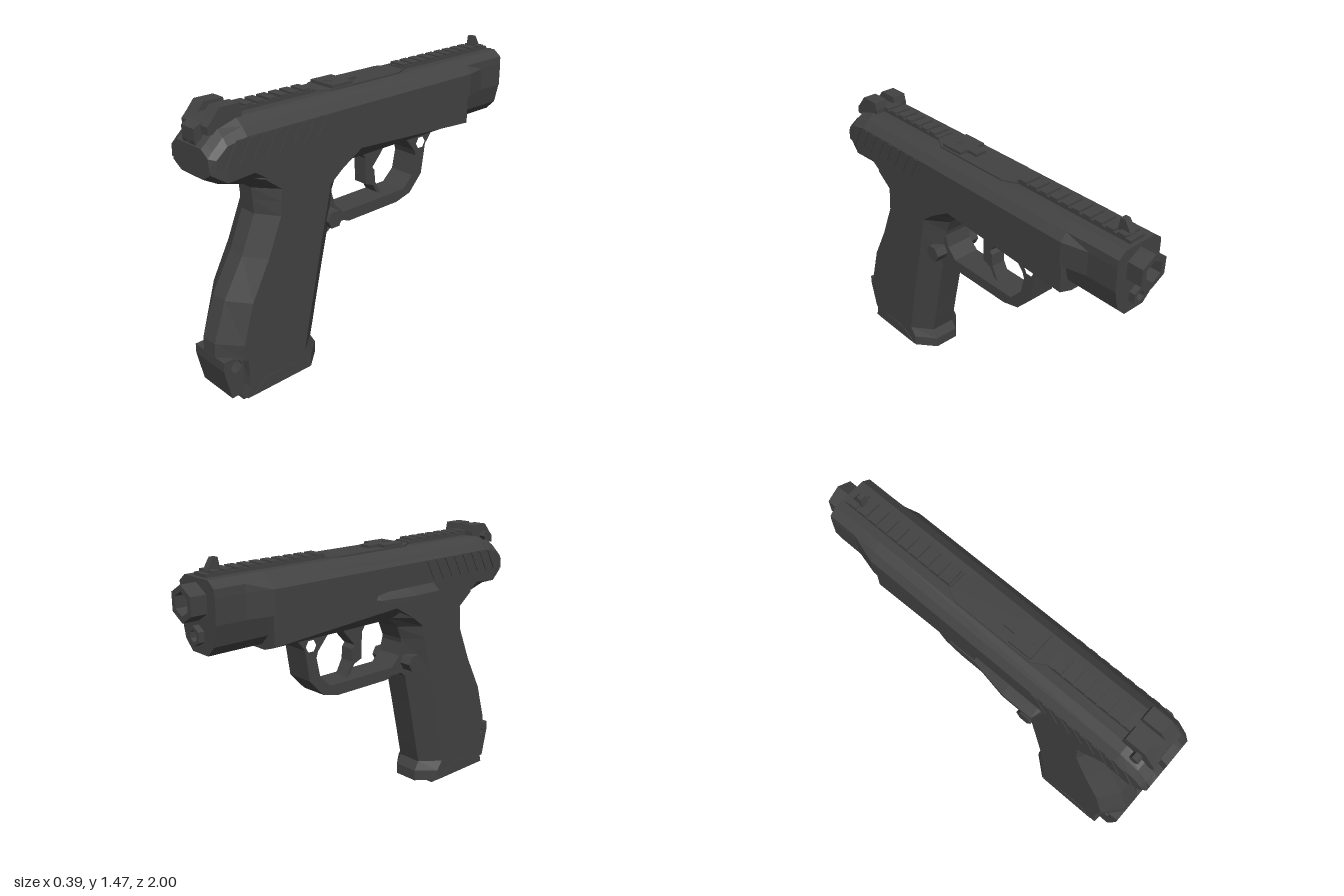
import * as THREE from 'three';

const AX = 0.022; // centre plane of the body
const steel = new THREE.MeshStandardMaterial({ color: 0x424242 });
steel.name = 'dark steel';

function flat(geo) {
  const g = geo.index ? geo.toNonIndexed() : geo;
  g.computeVertexNormals();
  return g;
}

// Solid through convex cross-sections of equal point count, capped at both ends
function loft(sections) {
  const n = sections[0].length, m = sections.length, idx = [];
  const pts = sections.flat();
  for (let s = 0; s < m - 1; s++) for (let i = 0; i < n; i++) {
    const a = s * n + i, b = s * n + (i + 1) % n;
    idx.push(a, b, b + n, a, b + n, a + n);
  }
  const e = (m - 1) * n;
  for (let i = 1; i < n - 1; i++) idx.push(0, i + 1, i, e, e + i, e + i + 1);
  // make the faces point outward
  const v = pts.map(p => new THREE.Vector3(...p));
  let vol = 0;
  for (let i = 0; i < idx.length; i += 3) vol += v[idx[i]].dot(v[idx[i + 1]].clone().cross(v[idx[i + 2]]));
  if (vol < 0) idx.reverse();
  const g = new THREE.BufferGeometry();
  g.setAttribute('position', new THREE.Float32BufferAttribute(pts.flat(), 3));
  g.setIndex(idx);
  return flat(g);
}

// Side profile in (z, y), extruded across x, with optional hexagonal hole [z, y, r]
function plate(points, half, hole, bevel = 0) {
  const shape = new THREE.Shape(points.map(p => new THREE.Vector2(...p)));
  if (hole) {
    const h = [];
    for (let i = 0; i < 6; i++) {
      const a = -i * Math.PI / 3;
      h.push(new THREE.Vector2(hole[0] + hole[2] * Math.cos(a), hole[1] + hole[2] * Math.sin(a)));
    }
    shape.holes.push(new THREE.Path(h));
  }
  const d = 2 * (half - bevel);
  const g = new THREE.ExtrudeGeometry(shape, {
    depth: d, bevelEnabled: bevel > 0, bevelSize: bevel, bevelOffset: -bevel, bevelThickness: bevel, bevelSegments: 1,
  });
  return flat(g.translate(0, 0, -d / 2).rotateY(-Math.PI / 2));
}

// Mirrored outline: right half given as [x, y], returned as a closed loop at z
const loopAtZ = (z, half) => [...half, ...half.slice().reverse().map(([x, y]) => [-x, y])].map(([x, y]) => [x, y, z]);

export function createModel() {
  const model = new THREE.Group();
  model.name = 'pistol';
  const add = (name, geo, x = 0, y = 0, z = 0) => {
    const mesh = new THREE.Mesh(geo, steel);
    mesh.name = name;
    mesh.position.set(AX + x, y, z);
    model.add(mesh);
    return mesh;
  };
  const box = (name, w, h, d, x, y, z) => add(name, flat(new THREE.BoxGeometry(w, h, d)), x, y, z);

  // Slide: z, half width, shoulder height, top height
  add('slide', loft([
    [-0.92, 0.135, 1.32, 1.39], [-0.76, 0.135, 1.32, 1.39], [-0.63, 0.168, 1.32, 1.39],
    [0.82, 0.168, 1.32, 1.39], [0.92, 0.165, 1.3, 1.36], [0.975, 0.16, 1.25, 1.31], [1, 0.14, 1.22, 1.29],
  ].map(([z, w, ys, yt]) => loopAtZ(z, [[w, 1.2], [w, ys], [Math.min(w - 0.003, 0.135), (ys + yt) / 2 + 0.003], [0.09, yt]]))));

  // Frame: z, side edge height, bottom height, half width
  add('frame', loft([
    [-0.63, 1.05, 1.025, 0.155], [0.15, 1.1, 1.025, 0.155], [0.3, 1.1, 1.025, 0.155], [0.64, 1.05, 1.025, 0.155],
    [0.78, 1.145, 1.07, 0.155], [0.92, 1.135, 1.11, 0.155], [0.995, 1.185, 1.15, 0.14],
  ].map(([z, ys, yb, w]) => loopAtZ(z, [[0.08, yb], [w, ys], [w, 1.21]]))));
  add('dustCover', loft([-0.92, -0.62].map(z => loopAtZ(z, [[0.06, 1.05], [0.11, 1.1], [0.135, 1.21]]))));

  // Grip: y, back, back side edge, front side edge, front
  const gripLoop = ([y, b, bs, fs, f]) => [
    [0.046, y, b], [0.155, y, bs], [0.155, y, fs], [0.07, y, f],
    [-0.07, y, f], [-0.155, y, fs], [-0.155, y, bs], [-0.046, y, b],
  ];
  add('grip', loft([
    [1.1, 0.82, 0.73, 0.15, 0.14], [1.03, 0.73, 0.64, 0.27, 0.17], [0.97, 0.725, 0.645, 0.35, 0.24],
    [0.9, 0.72, 0.65, 0.365, 0.27], [0.71, 0.8, 0.73, 0.41, 0.3], [0.52, 0.91, 0.83, 0.452, 0.345],
    [0.32, 0.98, 0.89, 0.497, 0.39], [0.24, 0.984, 0.885, 0.514, 0.407],
  ].map(gripLoop)));
  add('gripBase', loft([
    [0.24, 0.88, 0.875, 0.514, 0.407], [0.14, 0.88, 0.87, 0.535, 0.43],
    [0.09, 0.885, 0.875, 0.5, 0.4], [0.03, 0.9, 0.89, 0.5, 0.4],
  ].map(gripLoop)));
  add('lanyardHeel', plate([[0.84, 0.04], [0.95, 0.04], [0.985, 0.2], [0.984, 0.25], [0.84, 0.25]], 0.115, [0.915, 0.2, 0.033]));
  box('magazinePlate', 0.225, 0.04, 0.385, 0, 0.02, 0.693);
  for (const s of [-1, 1]) {
    add('magazineCutout', plate([[0.51, 0.032], [0.6, 0.09], [0.66, 0.1], [0.78, 0.1], [0.86, 0.032]], 0.003), s * 0.155);
  }

  // Trigger and guard
  add('triggerGuard', plate([
    [0.35, 0.75], [0.31, 0.68], [0.27, 0.71], [0.2, 0.71], [0.16, 0.695], [-0.18, 0.695], [-0.28, 0.72], [-0.365, 0.81],
    [-0.39, 0.97], [-0.44, 1.03], [-0.24, 1.03], [-0.31, 0.95], [-0.32, 0.92], [-0.297, 0.815], [-0.23, 0.755],
    [0.2, 0.755], [0.255, 0.81], [0.275, 0.88], [0.35, 0.88],
  ], 0.075, [-0.353, 0.985, 0.033]));
  add('trigger', plate([
    [0.05, 1.03], [0.013, 0.98], [0.013, 0.84], [-0.04, 0.82], [-0.065, 0.775], [-0.095, 0.76],
    [-0.055, 0.835], [-0.05, 0.9], [-0.035, 0.92], [-0.095, 0.985], [-0.13, 1.03],
  ], 0.04));
  add('magazineButton', flat(new THREE.CylinderGeometry(0.047, 0.047, 0.28, 6).rotateZ(Math.PI / 2)), 0, 0.77, 0.31);

  // Hexagonal barrel and guide rod, both hollow at the mouth
  const tube = (name, r, inner, front, y) => {
    const profile = [[0, -0.04], [inner, -0.04], [inner, front], [r, front], [r, -0.1]].map(p => new THREE.Vector2(...p));
    const g = new THREE.LatheGeometry(profile.reverse(), 6).rotateX(-Math.PI / 2);
    add(name, flat(g), 0, y, -0.92);
  };
  tube('barrel', 0.085, 0.055, 0.08, 1.285);
  tube('guideRod', 0.047, 0.028, 0.03, 1.135);

  // Slanted grip ribs on both sides of the slide
  for (const s of [-1, 1]) for (let i = 0; i < 8; i++) {
    const z = 0.41 + i * 0.07;
    add('slideRib', plate([[z, 1.21], [z + 0.035, 1.21], [z - 0.025, 1.316], [z - 0.06, 1.316]], 0.004), s * 0.168);
  }

  // Top strip with small teeth, chamber cover and extractor
  for (const [z0, z1] of [[-0.9, -0.23], [0.34, 0.8]]) {
    box('topStrip', 0.09, 0.02, z1 - z0, 0, 1.395, (z0 + z1) / 2);
    for (let z = z0 + 0.03; z < z1 - 0.03; z += 0.065) box('topTooth', 0.09, 0.012, 0.045, 0, 1.41, z + 0.02);
  }
  const cover = [[-0.05, -0.24], [0.05, -0.24], [0.085, -0.17], [0.085, 0.27], [0.04, 0.34], [-0.04, 0.34], [-0.085, 0.27], [-0.085, -0.17]];
  add('chamberCover', loft([1.38, 1.398].map(y => cover.map(([x, z]) => [x, y, z]))));
  box('extractorArm', 0.06, 0.02, 0.08, 0, 1.403, 0.11);
  box('extractor', 0.15, 0.02, 0.13, 0, 1.403, 0.2);
  add('extractorPin', flat(new THREE.CylinderGeometry(0.02, 0.02, 0.02, 6)), 0, 1.407, 0.22);

  // Sights
  add('frontSight', plate([[-0.8, 1.38], [-0.815, 1.466], [-0.84, 1.466], [-0.875, 1.41], [-0.875, 1.38]], 0.016));
  add('rearSightBase', plate([[0.79, 1.34], [0.79, 1.41], [0.93, 1.41], [0.965, 1.375], [0.965, 1.34]], 0.095));
  for (const s of [-1, 1]) {
    add('rearSightBlade', plate([[0.79, 1.4], [0.8, 1.447], [0.9, 1.447], [0.94, 1.4]], 0.037), s * 0.058);
  }
  add('sightScrew', flat(new THREE.CylinderGeometry(0.024, 0.024, 0.04, 6).rotateZ(Math.PI / 2)), -0.108, 1.385, 0.88);

  // Hammer with pin at the rear
  add('hammer', plate([[0.86, 1.2], [0.96, 1.2], [0.985, 1.25], [1, 1.31], [1, 1.365], [0.96, 1.385], [0.86, 1.37]], 0.046));
  add('hammerPin', flat(new THREE.CylinderGeometry(0.016, 0.016, 0.01, 6).rotateX(Math.PI / 2)), 0, 1.31, 0.995);

  // Slide catch lever on the right side
  const lever = [[-0.14, 0], [-0.18, 0.02], [-0.217, 0.23], [-0.217, 0.4], [-0.14, 0.43]];
  add('slideCatch', loft([[1.145, 0], [1.165, 0], [1.2, 0.045]].map(([y, d]) =>
    lever.map(([x, z]) => [Math.min(-0.14, x + d), y, z]))));
  return model;
}
